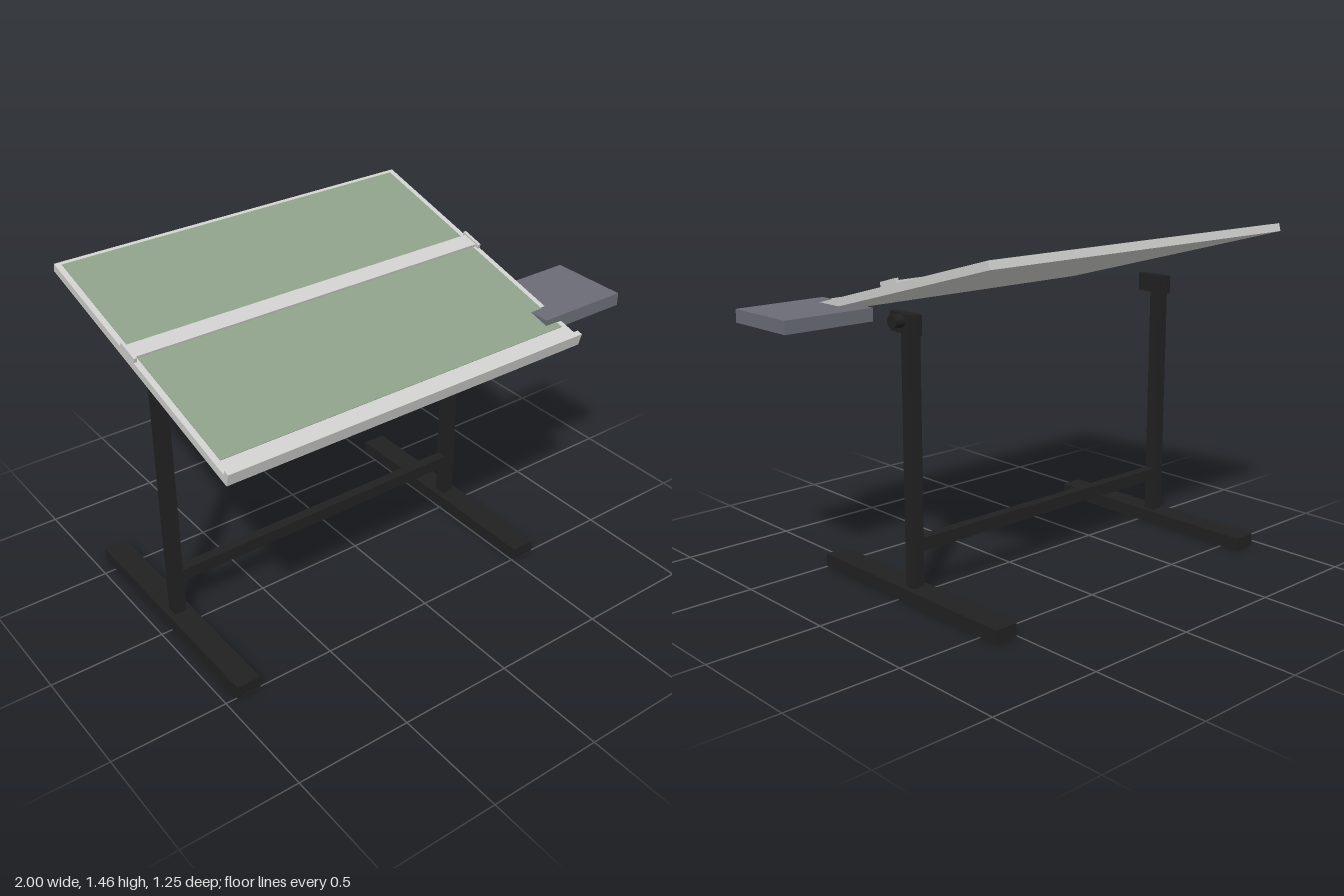
import * as THREE from 'three';

export function createModel() {
  const model = new THREE.Group();
  model.name = 'draftingTable';

  const mat = (name, color) => {
    const m = new THREE.MeshStandardMaterial({ color });
    m.name = name;
    return m;
  };
  const black = mat('blackSteel', 0x212121);
  const frame = mat('lightGreyFrame', 0xcfd0cd);
  const green = mat('greenSurface', 0x8da088);
  const slate = mat('slateTray', 0x6a6c75);

  // Box given by its [min, max] extents on each axis
  const box = (parent, name, material, x, y, z) => {
    const g = new THREE.BoxGeometry(x[1] - x[0], y[1] - y[0], z[1] - z[0]);
    const mesh = new THREE.Mesh(g, material);
    mesh.name = name;
    mesh.position.set((x[0] + x[1]) / 2, (y[0] + y[1]) / 2, (z[0] + z[1]) / 2);
    parent.add(mesh);
    return mesh;
  };

  // Two T-shaped supports: foot, post and pivot plate
  [['left', 0.56], ['right', -0.895]].forEach(([side, x]) => {
    const support = new THREE.Group();
    support.name = side + 'Support';
    support.position.x = x;
    model.add(support);
    box(support, 'foot', black, [-0.053, 0.053], [0, 0.057], [-0.59, 0.505]);
    box(support, 'post', black, [-0.026, 0.026], [0.057, 1.18], [-0.07, -0.015]);
    box(support, 'pivotPlate', black, [-0.014, 0.014], [1.1, 1.181], [-0.097, 0.067]);
  });

  // Crossbar between the posts
  box(model, 'crossbar', black, [-0.87, 0.535], [0.207, 0.262], [-0.065, -0.02]);

  // Tilt lock knob on the outside of one post
  const knob = new THREE.Mesh(new THREE.CylinderGeometry(0.028, 0.028, 0.06, 20), black);
  knob.name = 'tiltKnob';
  knob.rotation.z = Math.PI / 2;
  knob.position.set(0.6, 1.153, -0.015);
  model.add(knob);

  // Tilted drawing board, local origin at the centre of its underside
  const board = new THREE.Group();
  board.name = 'drawingBoard';
  board.position.set(-0.165, 1.2565, -0.0075);
  board.rotation.x = THREE.MathUtils.degToRad(15.1);
  model.add(board);
  const top = 0.034;
  const half = 0.835;
  box(board, 'boardPanel', frame, [-half, half], [0, top], [-0.64, 0.615]);
  box(board, 'frontLip', frame, [-half, half], [0, 0.055], [0.615, 0.64]);
  box(board, 'drawingSurface', green, [-0.81, 0.81], [top - 0.001, top + 0.002], [-0.622, 0.553]);

  // Sliding straightedge with a guide at each end
  box(board, 'straightedge', frame, [-0.822, 0.822], [top, top + 0.012], [-0.0945, -0.022]);
  for (const s of [-1, 1]) {
    const x = [s * 0.822, s * half].sort((a, b) => a - b);
    box(board, 'straightedgeGuide', frame, x, [top, top + 0.02], [-0.107, -0.006]);
  }

  // Side tray
  box(model, 'sideTray', slate, [0.587, 1], [1.125, 1.18], [0.16, 0.505]);

  return model;
}
